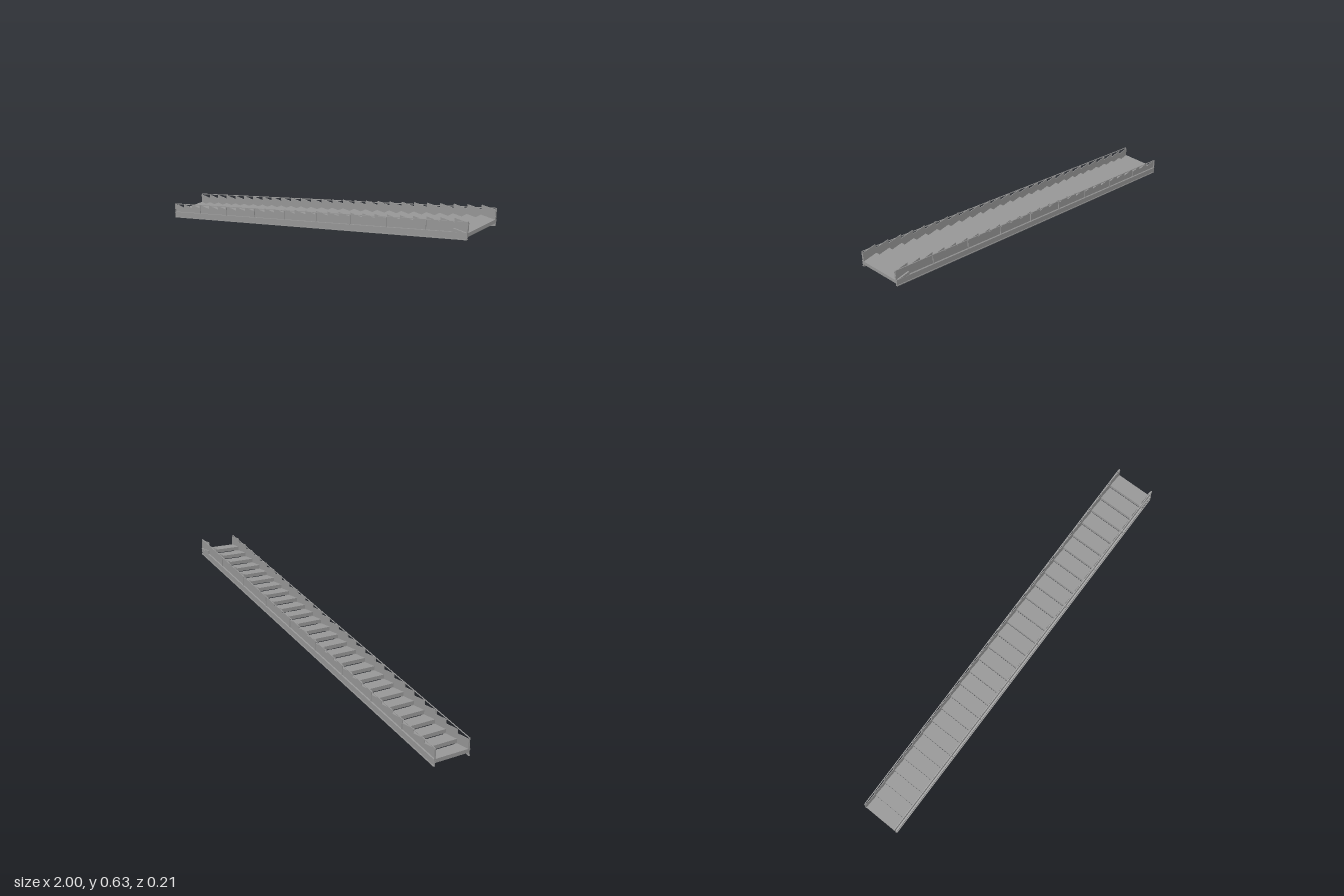
import * as THREE from 'three';

const STEPS = 27, RUN = 2 / STEPS, RISE = 0.0209, SLOPE = 0.2735;
const baseY = x => (x + 1) * SLOPE; // underside line of the flight

export function createModel() {
  const model = new THREE.Group();
  const steel = new THREE.MeshStandardMaterial({ color: 0x999999 });
  steel.name = 'grey steel';

  const box = (name, w, h, d, x, y, z) => {
    const mesh = new THREE.Mesh(new THREE.BoxGeometry(w, h, d), steel);
    mesh.name = name;
    mesh.position.set(x, y, z);
    model.add(mesh);
  };

  // Sloping bar with upright ends, between two heights above the underside line
  const slopedBar = (name, low, high, depth, z) => {
    const shape = new THREE.Shape([
      new THREE.Vector2(-1, low), new THREE.Vector2(1, baseY(1) + low),
      new THREE.Vector2(1, baseY(1) + high), new THREE.Vector2(-1, high),
    ]);
    const geometry = new THREE.ExtrudeGeometry(shape, { depth, bevelEnabled: false });
    geometry.translate(0, 0, z - depth / 2);
    const mesh = new THREE.Mesh(geometry, steel);
    mesh.name = name;
    model.add(mesh);
  };

  // Steps with upright plates at both ends
  for (let i = 0; i < STEPS; i++) {
    const x = -1 + (i + 0.5) * RUN;
    const bottom = 0.0165 + i * RISE;
    const last = i === STEPS - 1;
    box('step', RUN, 0.018, last ? 0.204 : 0.188, x, bottom + 0.009, 0);
    for (const side of [-1, 1]) {
      box('stepSidePlate', RUN, 0.061, 0.003, x, bottom + 0.0335, side * 0.0935);
    }
    // Small clip under every fifth step
    if (i % 5 === 2) box('underClip', 0.05, 0.006, 0.024, x, bottom - 0.003, 0);
  }

  for (const side of [-1, 1]) {
    // Channel stringer: web with lower and upper flanges
    slopedBar('stringerWeb', 0, 0.034, 0.004, side * 0.098);
    slopedBar('stringerLowerFlange', 0, 0.004, 0.008, side * 0.099);
    slopedBar('stringerUpperFlange', 0.03, 0.034, 0.008, side * 0.099);
    // Thin handrail on posts
    slopedBar('handrail', 0.081, 0.084, 0.004, side * 0.098);
    for (let i = 0; i <= 9; i++) {
      const x = THREE.MathUtils.clamp(-1 + i * 3 * RUN, -0.998, 0.998);
      box('railPost', 0.004, 0.052, 0.004, x, baseY(x) + 0.057, side * 0.098);
    }
  }

  return model;
}
